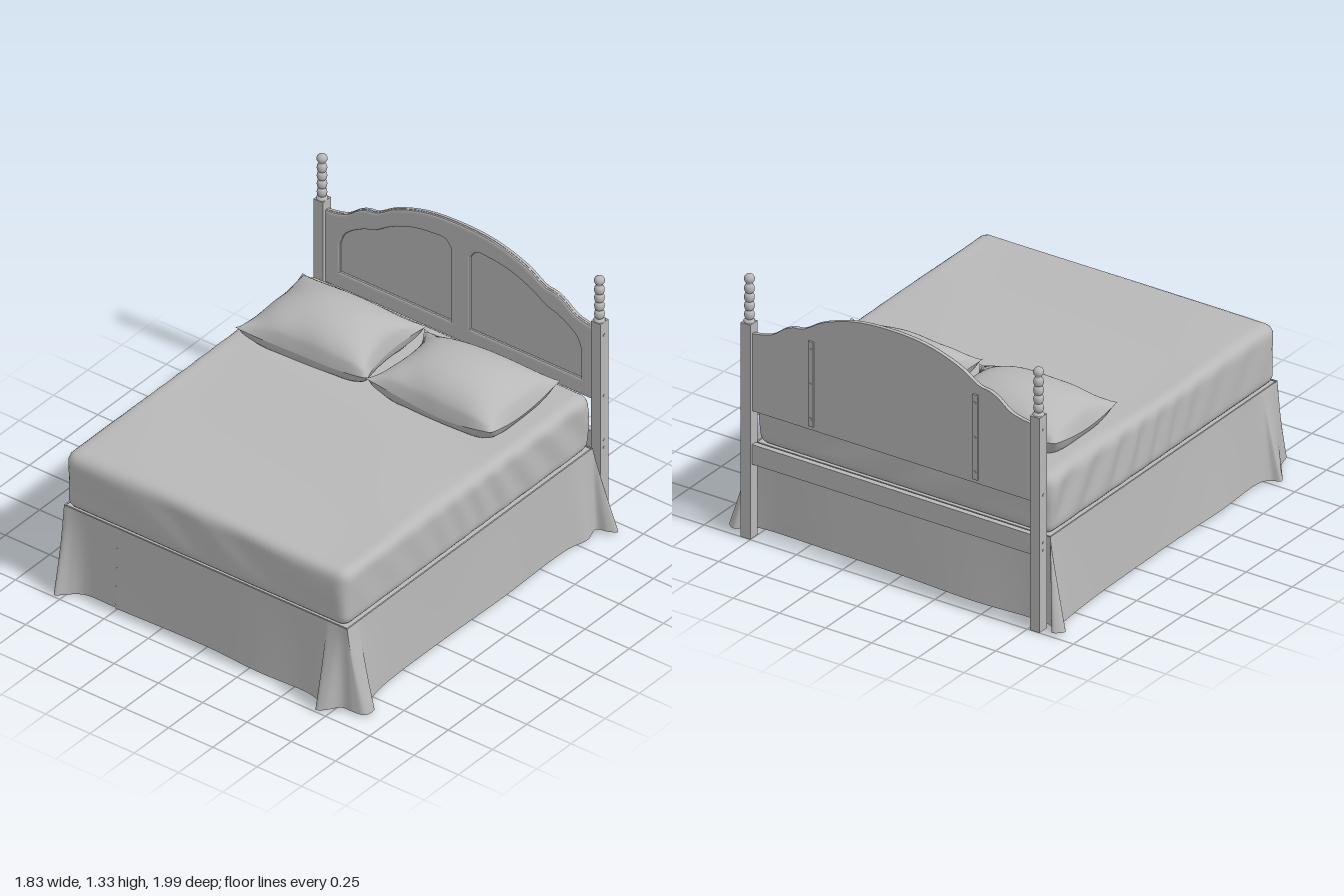
import * as THREE from 'three';
import { mergeVertices } from 'three/addons/utils/BufferGeometryUtils.js';

const V = (x, y) => new THREE.Vector2(x, y);

export function createModel() {
  const bed = new THREE.Group();
  bed.name = 'bed';
  const grey = new THREE.MeshStandardMaterial({ color: 0xb8b8b8, side: THREE.DoubleSide });
  grey.name = 'plain grey';

  function add(name, geometry, x = 0, y = 0, z = 0, parent = bed) {
    const mesh = new THREE.Mesh(geometry, grey);
    mesh.name = name;
    mesh.position.set(x, y, z);
    parent.add(mesh);
    return mesh;
  }

  // Weld a geometry, move each vertex by a rule and smooth it
  function reshape(geometry, rule) {
    geometry.deleteAttribute('uv');
    geometry.deleteAttribute('normal');
    const g = mergeVertices(geometry);
    const pos = g.attributes.position;
    const p = new THREE.Vector3();
    for (let i = 0; i < pos.count; i++) {
      p.fromBufferAttribute(pos, i);
      rule(p);
      pos.setXYZ(i, p.x, p.y, p.z);
    }
    g.computeVertexNormals();
    return g;
  }

  // Mattress: rounded box with sheet folds, strongest along the sides by the pillows
  const W = 1.59, H = 0.3, D = 1.8, R = 0.052;
  const inner = new THREE.Vector3(W / 2 - R, H / 2 - R, D / 2 - R);
  const outer = inner.clone().negate();
  const mattress = reshape(new THREE.BoxGeometry(W, H, D, 72, 16, 84), (p) => {
    const core = p.clone().clamp(outer, inner);
    p.sub(core).setLength(R).add(core);
    const sx = Math.pow(Math.abs(p.x) / (W / 2), 14);
    const sz = Math.pow(Math.abs(p.z) / (D / 2), 14);
    const mid = 1 - Math.pow(p.y / (H / 2), 2);
    const pleat = 0.003 + 0.006 * THREE.MathUtils.smoothstep(-p.z, -0.6, 0.4);
    p.x += Math.sign(p.x) * sx * mid * pleat * Math.sin(36 * p.z - 13 * p.y + 2 * Math.sin(5 * p.z));
    p.z += Math.sign(p.z) * sz * mid * (0.004 + 0.005 * Math.sin(9 * p.x + 16 * p.y + 2 * Math.sin(4 * p.x)));
    if (p.y > 0) {
      p.y += 0.005 * (p.y / (H / 2)) * (1 - sx) * (1 - sz)
        * (Math.sin(4 * p.z + 2.5 * p.x) + Math.sin(3 * p.x - 6 * p.z + 1));
    }
  });
  add('mattress', mattress, -0.005, 0.583, 0.004);

  // Box spring inside the skirt, its underside held clear of the floor
  add('boxSpring', new THREE.BoxGeometry(1.585, 0.34, 1.78), -0.004, 0.27, 0.002);

  // Bed skirt: the hem outline is lofted up to a plain rectangle
  const hem = [
    [-0.5, 0.915], [0, 0.91], [0.3, 0.925], [0.6, 0.915], [0.67, 0.94], [0.69, 0.995], [0.73, 0.98],
    [0.78, 0.92], [0.84, 0.91], [0.89, 0.89], [0.895, 0.83], [0.85, 0.8], [0.825, 0.7],
    [0.812, 0.3], [0.815, -0.2], [0.812, -0.7], [0.84, -0.8], [0.825, -0.88], [0.88, -0.9], [0.91, -0.93],
    [0.87, -0.96], [0.82, -0.92], [0.77, -0.905], [0.4, -0.91], [0, -0.915], [-0.4, -0.925], [-0.74, -0.91],
    [-0.83, -0.93], [-0.88, -0.99], [-0.92, -0.95], [-0.86, -0.88], [-0.845, -0.8], [-0.835, -0.6],
    [-0.835, 0], [-0.845, 0.4], [-0.835, 0.72], [-0.86, 0.77], [-0.9, 0.79], [-0.87, 0.84],
    [-0.83, 0.89], [-0.81, 0.94], [-0.785, 0.995], [-0.74, 0.95], [-0.68, 0.915],
  ];
  const hemCurve = new THREE.CatmullRomCurve3(hem.map(([x, z]) => new THREE.Vector3(x, 0, z)), true);
  const around = 320, rows = 12;
  const loop = hemCurve.getPoints(around);
  const verts = [], faces = [];
  for (let j = 0; j <= rows; j++) {
    const t = j / rows;
    const flare = Math.pow(t, 1.1);
    loop.forEach((b, i) => {
      const tx = THREE.MathUtils.clamp(b.x, -0.803, 0.795);
      const tz = THREE.MathUtils.clamp(b.z, -0.896, 0.9);
      const bottom = 0.015 + 0.006 * Math.sin(i * 0.16);
      verts.push(tx + (b.x - tx) * flare, 0.442 + (bottom - 0.442) * t, tz + (b.z - tz) * flare);
      if (i < around && j < rows) {
        const a = j * (around + 1) + i, c = a + around + 1;
        faces.push(a, c, a + 1, c, c + 1, a + 1);
      }
    });
  }
  const skirt = new THREE.BufferGeometry();
  skirt.setAttribute('position', new THREE.Float32BufferAttribute(verts, 3));
  skirt.setIndex(faces);
  skirt.computeVertexNormals();
  add('bedSkirt', skirt);

  // Pillows: plump cushions lying flat below, with lifted corners and the facing edges drawn in
  // Corner order: back left, back right, front right, front left of the plan
  function pillow(name, corners, drawnSide, phase) {
    const [a, b, c, d] = corners.map(([x, z]) => V(x, z));
    const g = reshape(new THREE.BoxGeometry(2, 2, 2, 36, 1, 32), (p) => {
      const u = p.x, v = p.z, up = p.y > 0;
      const pinch = u * drawnSide > 0 ? 0.19 : 0.05;
      const pu = u * (1 - pinch * (1 - v * v) * u * u);
      const pv = v * (1 - 0.07 * (1 - u * u) * v * v);
      const back = a.clone().lerp(b, (pu + 1) / 2);
      const front = d.clone().lerp(c, (pu + 1) / 2);
      const q = back.lerp(front, (pv + 1) / 2);
      const room = Math.max(0, (1 - u * u) * (1 - v * v));
      const puff = Math.pow(room, 0.5);
      const edge = 0.775 + 0.045 * u * u * v * v + 0.008 * Math.sin(3 * u + 2 * v + phase);
      const crease = 0.012 * Math.sin(7 * u * v + 4 * u + phase) * (1 - puff) * puff;
      const y = up ? edge + (0.95 - edge) * puff + crease
        : edge + (0.728 - edge) * Math.min(1, 2.5 * puff);
      p.set(q.x, y, q.y);
    });
    add(name, g);
  }
  pillow('rightPillow', [[-0.73, -0.75], [-0.035, -0.765], [-0.005, -0.29], [-0.72, -0.245]], 1, 0);
  pillow('leftPillow', [[-0.04, -0.745], [0.69, -0.795], [0.7, -0.275], [-0.01, -0.27]], -1, 2);

  // Headboard outline, right half from the post to the crown
  const crest = [[0.765, 1.04], [0.7, 1.05], [0.64, 1.07], [0.58, 1.115], [0.53, 1.138], [0.47, 1.15],
    [0.36, 1.215], [0.19, 1.268], [0, 1.283]];
  const mirrored = crest.slice(0, -1).reverse().map(([x, y]) => [-x, y]);
  const crestPoints = new THREE.SplineCurve([...crest, ...mirrored].map(([x, y]) => V(x, y))).getPoints(80);
  const outline = () => new THREE.Shape([V(-0.765, 0.65), V(0.765, 0.65), ...crestPoints]);
  const panelTop = [[0.68, 0.89], [0.66, 0.945], [0.62, 0.985], [0.55, 1.025], [0.48, 1.05], [0.4, 1.1],
    [0.28, 1.15], [0.16, 1.17], [0.09, 1.17], [0.055, 1.13]];

  const headboard = new THREE.Group();
  headboard.name = 'headboard';
  bed.add(headboard);
  add('headboardPanel', new THREE.ExtrudeGeometry(outline(), { depth: 0.014, bevelEnabled: false }),
    0, 0, -0.983, headboard);
  const frame = outline();
  for (const s of [-1, 1]) {
    const top = new THREE.SplineCurve(panelTop.map(([x, y]) => V(s * x, y))).getPoints(40);
    frame.holes.push(new THREE.Path([V(s * 0.055, 0.74), V(s * 0.68, 0.74), ...top]));
  }
  add('headboardFrame', new THREE.ExtrudeGeometry(frame, {
    depth: 0.002, bevelThickness: 0.008, bevelSize: 0.016, bevelOffset: -0.016, bevelSegments: 3,
  }), 0, 0, -0.966, headboard);
  add('lowerRail', new THREE.BoxGeometry(1.53, 0.1, 0.028), 0, 0.43, -0.97, headboard);

  // Turned finial: stacked beads ending in a ball
  const turned = [V(0.026, 0), V(0.026, 0.008), V(0.018, 0.014)];
  [0.036, 0.08, 0.124, 0.168].forEach((y) => {
    for (let k = 0; k <= 6; k++) {
      const a = (k / 6 - 0.5) * Math.PI;
      turned.push(V(0.014 + 0.01 * Math.cos(a), y + 0.021 * Math.sin(a)));
    }
  });
  for (let k = 0; k <= 10; k++) {
    const a = -1.0 + (k / 10) * (1.0 + Math.PI / 2);
    turned.push(V(Math.max(0, 0.025 * Math.cos(a)), 0.217 + 0.024 * Math.sin(a)));
  }

  // Posts with bolts, and the mounting strips on the back
  for (const s of [-1, 1]) {
    const side = s > 0 ? 'left' : 'right';
    const x = s * 0.783 - 0.006;
    add(side + 'Post', new THREE.BoxGeometry(0.052, 1.085, 0.058), x, 0.5475, -0.97, headboard);
    add(side + 'Finial', new THREE.LatheGeometry(turned, 20), x, 1.09, -0.968, headboard);
    for (const y of [0.41, 0.45, 0.69, 1.02]) {
      const bolt = add(side + 'Bolt', new THREE.CylinderGeometry(0.007, 0.007, 0.004, 10),
        x + s * 0.026, y, -0.968, headboard);
      bolt.rotation.z = Math.PI / 2;
    }
    const sx = s * 0.445 - 0.015;
    add(side + 'MountingStrip', new THREE.BoxGeometry(0.028, 0.43, 0.009), sx, 0.885, -0.987, headboard);
    for (const y of [0.71, 0.885, 1.06]) {
      const screw = add(side + 'Screw', new THREE.CylinderGeometry(0.007, 0.007, 0.004, 10),
        sx, y, -0.993, headboard);
      screw.rotation.x = Math.PI / 2;
    }
  }
  return bed;
}
